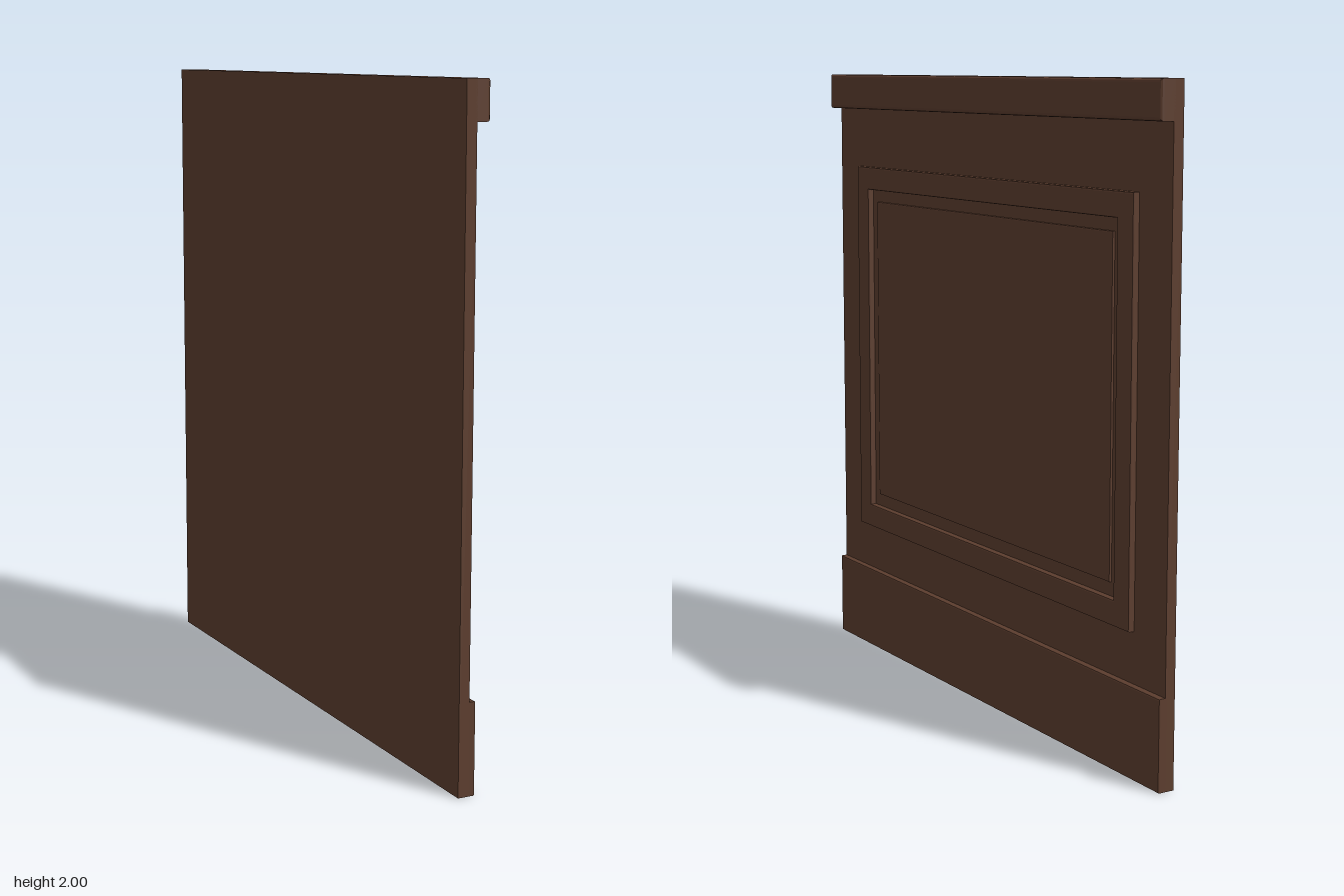
import * as THREE from 'three';

const BOARD_BACK = -0.038, BOARD_FRONT = -0.005, HALF_WIDTH = 0.98;

// Rectangular outline: half width along z, bottom and top along y
function outline(Type, half, y0, y1) {
  return new Type([[-half, y0], [half, y0], [half, y1], [-half, y1]]
    .map(([u, v]) => new THREE.Vector2(u, v)));
}

// Slab facing +x with a softened front edge; its back end is sunk into the board
function raisedSlab(shape, front, bevel, segments) {
  const back = BOARD_FRONT - bevel - 0.005;
  const g = new THREE.ExtrudeGeometry(shape, {
    depth: front - back - 2 * bevel,
    bevelEnabled: true, bevelThickness: bevel, bevelSize: bevel,
    bevelOffset: -bevel, bevelSegments: segments,
  });
  g.translate(0, 0, back + bevel);
  g.rotateY(Math.PI / 2);
  return g;
}

export function createModel() {
  const model = new THREE.Group();
  model.name = 'wainscotPanel';
  const wood = new THREE.MeshStandardMaterial({ color: 0x5c3d2e });
  wood.name = 'darkWood';

  const add = (name, geometry) => {
    const mesh = new THREE.Mesh(geometry, wood);
    mesh.name = name;
    model.add(mesh);
  };

  // Backing board
  const board = new THREE.BoxGeometry(BOARD_FRONT - BOARD_BACK, 2, 2 * HALF_WIDTH);
  board.translate((BOARD_FRONT + BOARD_BACK) / 2, 1, 0);
  add('backingBoard', board);

  // Cap rail along the top and skirting along the floor
  add('capRail', raisedSlab(outline(THREE.Shape, HALF_WIDTH, 1.885, 2), 0.038, 0.011, 3));
  add('baseboard', raisedSlab(outline(THREE.Shape, HALF_WIDTH, 0, 0.277), 0.016, 0.005, 2));

  // Picture-frame moulding
  const frame = outline(THREE.Shape, 0.825, 0.433, 1.688);
  frame.holes.push(outline(THREE.Path, 0.747, 0.511, 1.612));
  add('frameMoulding', raisedSlab(frame, 0.016, 0.005, 2));

  // Raised centre field inside the moulding
  add('centreField', raisedSlab(outline(THREE.Shape, 0.708, 0.553, 1.572), 0.003, 0.004, 2));

  return model;
}
